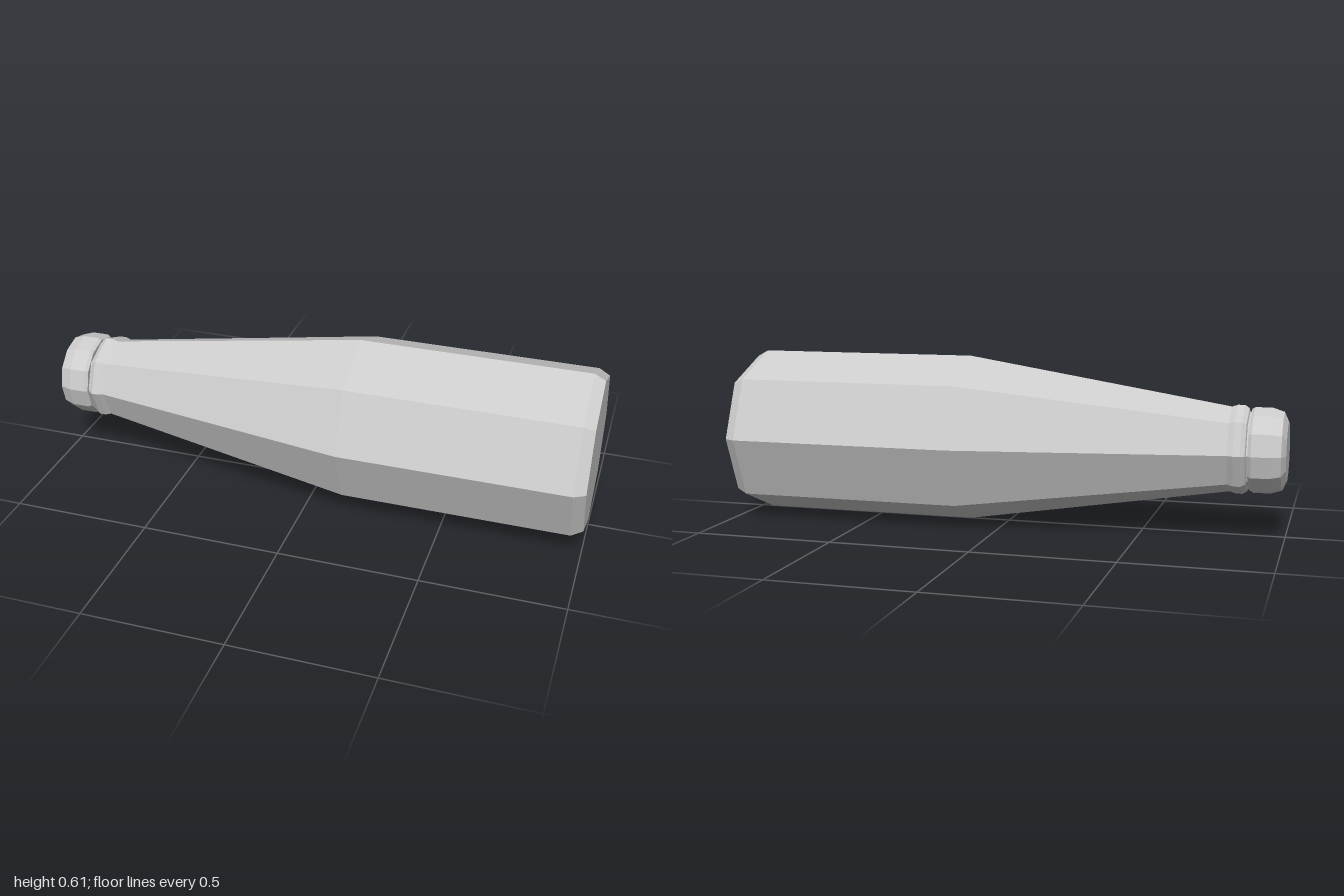
import * as THREE from 'three';

const AXIS_Y = 0.305; // height of the bottle's long axis

// Faceted solid of revolution along x, from [position, radius] pairs
function turned(name, sides, profile, material) {
  const points = profile.map(([x, r]) => new THREE.Vector2(r, x));
  const geometry = new THREE.LatheGeometry(points, sides);
  geometry.rotateZ(-Math.PI / 2);
  const mesh = new THREE.Mesh(geometry, material);
  mesh.name = name;
  mesh.position.y = AXIS_Y;
  return mesh;
}

export function createModel() {
  const grey = new THREE.MeshStandardMaterial({ color: 0xcccccc, flatShading: true });
  grey.name = 'grey';

  const group = new THREE.Group();
  group.name = 'bottle';

  // Eight-sided body with bevelled base, long shoulder and neck collar
  group.add(turned('body', 8, [
    [-0.9, 0], [-0.9, 0.135], [-0.868, 0.135],
    [-0.865, 0.147], [-0.85, 0.157], [-0.825, 0.157], [-0.805, 0.15],
    [0.145, 0.303], [0.96, 0.303], [1, 0.281], [1, 0],
  ], grey));

  // Rounded cap
  group.add(turned('cap', 12, [
    [-1, 0], [-1, 0.105], [-0.985, 0.138], [-0.945, 0.151],
    [-0.885, 0.151], [-0.874, 0.144], [-0.874, 0],
  ], grey));

  return group;
}
